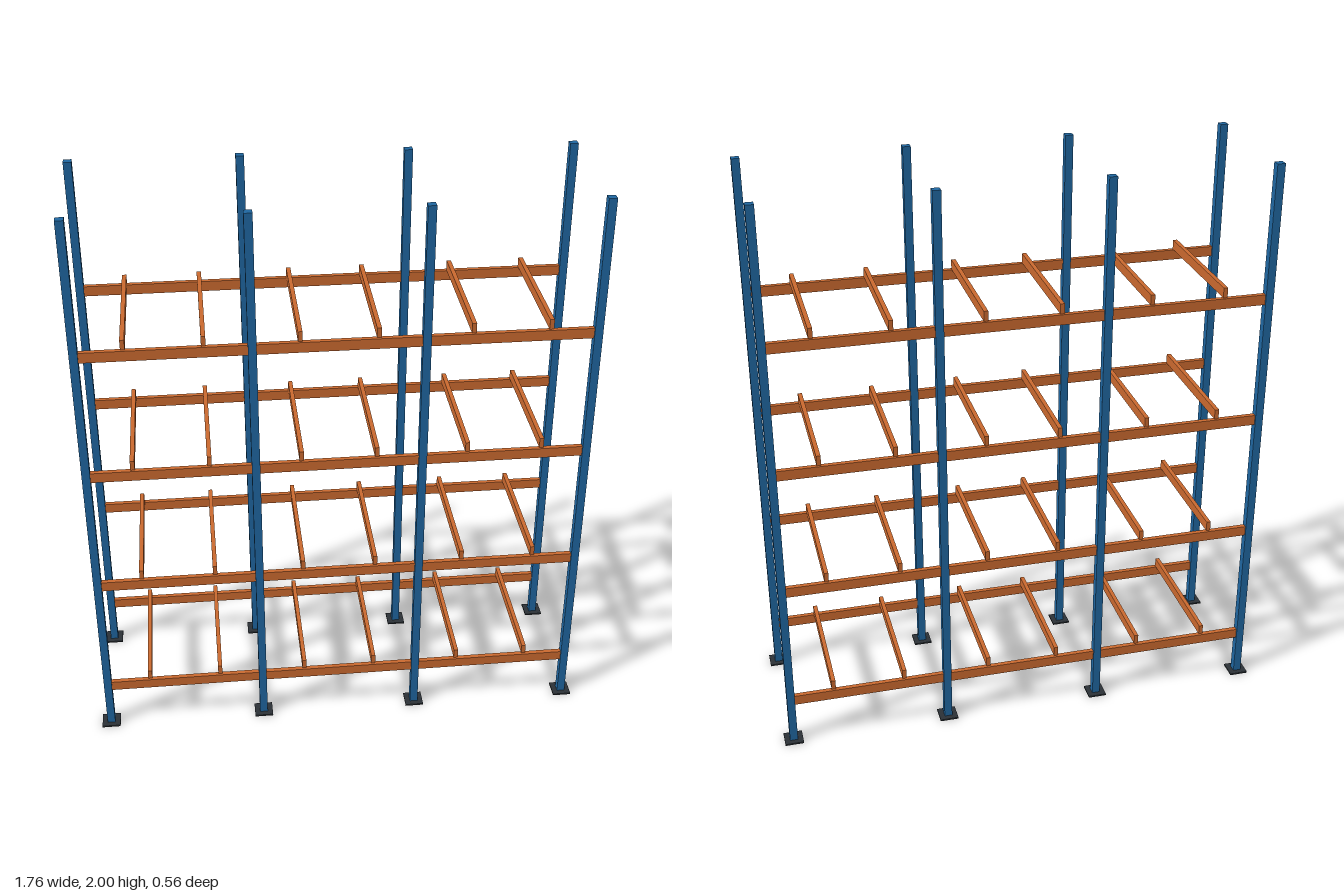
import * as THREE from 'three';

const POST = 0.028;      // upright width
const BAY = 0.566;       // spacing between uprights
const DEPTH = 0.245;     // half depth, to upright centres
const PLATE = 0.006;     // foot plate thickness
const BEAM = 0.036;      // beam height

export function createModel() {
  const blue = new THREE.MeshStandardMaterial({ color: 0x1f66a0 });
  blue.name = 'blue paint';
  const orange = new THREE.MeshStandardMaterial({ color: 0xca692f });
  orange.name = 'orange paint';
  const dark = new THREE.MeshStandardMaterial({ color: 0x2b3136 });
  dark.name = 'dark steel';

  const rack = new THREE.Group();
  rack.name = 'storageRack';

  const box = (name, material, size, position) => {
    const mesh = new THREE.Mesh(new THREE.BoxGeometry(...size), material);
    mesh.name = name;
    mesh.position.set(...position);
    rack.add(mesh);
  };

  // Uprights on foot plates, four along each long side
  for (const z of [-DEPTH, DEPTH]) {
    for (let i = 0; i < 4; i++) {
      const x = (i - 1.5) * BAY;
      box('upright', blue, [POST, 2 - PLATE, POST], [x, 1 + PLATE / 2, z]);
      box('footPlate', dark, [0.066, PLATE, 0.066], [x, PLATE / 2, z]);
    }
  }

  // Four levels of three bays: long beams with support bars resting on top
  for (let level = 0; level < 4; level++) {
    const y = 0.174 + level * 0.452;
    for (let bay = -1; bay <= 1; bay++) {
      const x = bay * BAY;
      for (const side of [-1, 1]) {
        box('beam', orange, [BAY - POST, BEAM, 0.017], [x, y, side * DEPTH]);
        box('supportBar', orange, [0.015, 0.035, DEPTH * 2],
          [x + side * 0.128, y + BEAM / 2 + 0.0175, 0]);
      }
    }
  }
  return rack;
}
